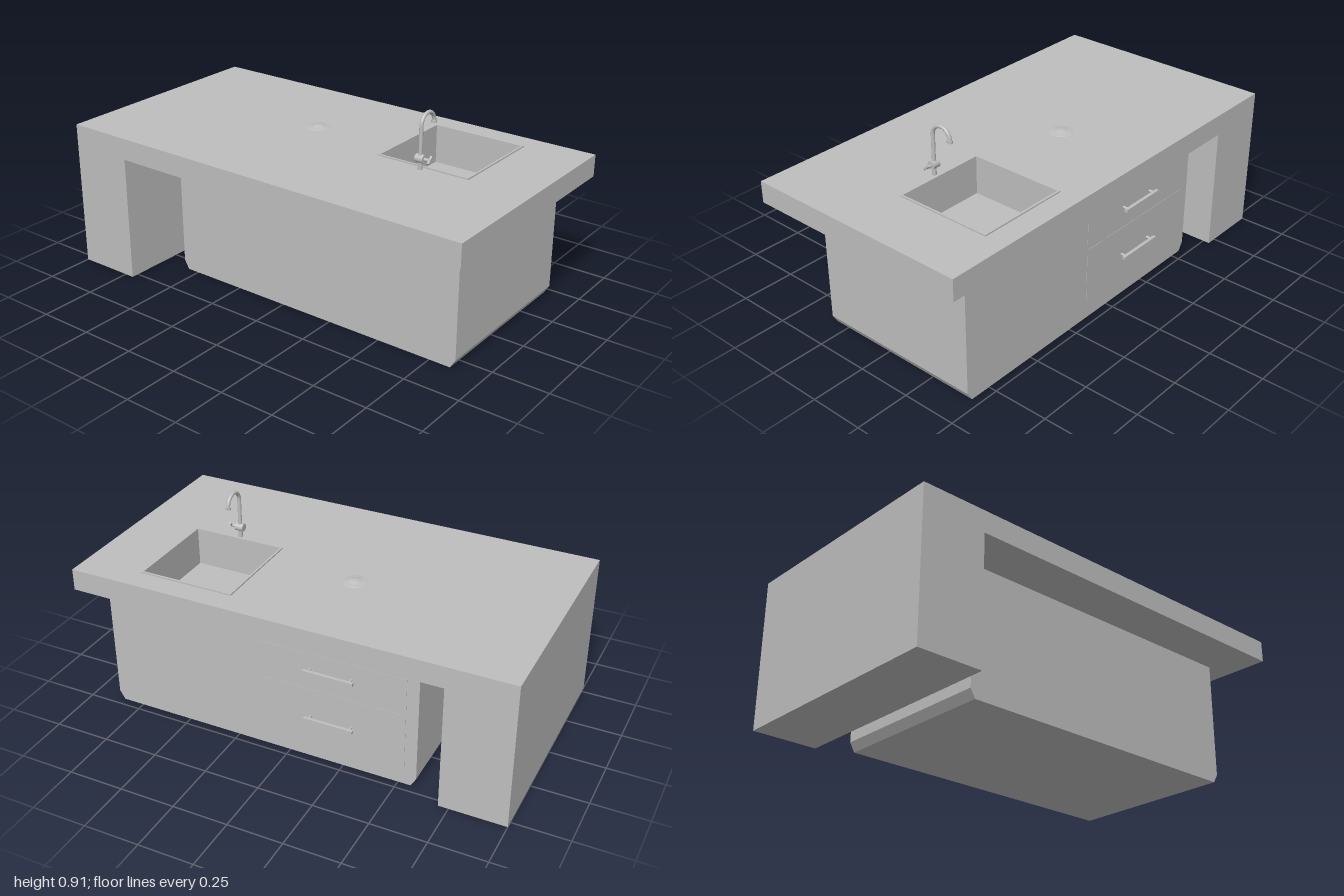
import * as THREE from 'three';

const metalGrey = new THREE.MeshStandardMaterial({ color: 0xbebebe });
metalGrey.name = 'plain grey';

const SINK = { x0: -0.017, x1: 0.418, z0: 0.29, z1: 0.71, floor: 0.5 };

function add(parent, name, geometry, x = 0, y = 0, z = 0) {
  const mesh = new THREE.Mesh(geometry, metalGrey);
  mesh.name = name;
  mesh.position.set(x, y, z);
  parent.add(mesh);
  return mesh;
}

// Box given by its limits on each axis
function box(parent, name, x0, x1, y0, y1, z0, z1) {
  return add(parent, name, new THREE.BoxGeometry(x1 - x0, y1 - y0, z1 - z0),
    (x0 + x1) / 2, (y0 + y1) / 2, (z0 + z1) / 2);
}

// Horizontal slab with a rectangular opening
function framedSlab(parent, name, [x0, x1, z0, z1], [hx0, hx1, hz0, hz1], y0, y1) {
  const corners = (a, b, c, d) =>
    [[a, -d], [b, -d], [b, -c], [a, -c]].map(([x, y]) => new THREE.Vector2(x, y));
  const shape = new THREE.Shape(corners(x0, x1, z0, z1));
  shape.holes.push(new THREE.Path(corners(hx0, hx1, hz0, hz1)));
  const geometry = new THREE.ExtrudeGeometry(shape, { depth: y1 - y0, bevelEnabled: false });
  geometry.rotateX(-Math.PI / 2);
  return add(parent, name, geometry, 0, y0, 0);
}

// Round bar between two points
function rod(parent, name, from, to, radius, sides = 24) {
  const a = new THREE.Vector3(...from), b = new THREE.Vector3(...to);
  const mesh = add(parent, name, new THREE.CylinderGeometry(radius, radius, a.distanceTo(b), sides));
  mesh.position.copy(a).add(b).multiplyScalar(0.5);
  mesh.quaternion.setFromUnitVectors(new THREE.Vector3(0, 1, 0), b.sub(a).normalize());
  return mesh;
}

function makeCabinet() {
  const cabinet = new THREE.Group();
  cabinet.name = 'cabinet';

  // Lower body with bevelled bottom edges at both ends
  const profile = new THREE.Shape([
    [-0.848, 0], [0.557, 0], [0.58, 0.04], [0.58, 0.49], [-0.872, 0.49], [-0.872, 0.04],
  ].map(([x, y]) => new THREE.Vector2(x, y)));
  const body = new THREE.ExtrudeGeometry(profile, { depth: 0.782, bevelEnabled: false });
  body.rotateY(Math.PI / 2);
  add(cabinet, 'cabinetBody', body, -0.32, 0, 0);

  // Upper body, open where the basin drops in
  framedSlab(cabinet, 'cabinetTop', [-0.32, 0.462, -0.58, 0.872],
    [SINK.x0 - 0.005, SINK.x1 + 0.005, SINK.z0 - 0.005, SINK.z1 + 0.005], 0.49, 0.572);

  // Drawers with bar handles
  for (const [y0, y1, handleY] of [[0.372, 0.515, 0.443], [0.083, 0.342, 0.207]]) {
    const drawer = new THREE.Group();
    drawer.name = 'drawer';
    box(drawer, 'drawerFront', 0.455, 0.4635, y0, y1, -0.526, 0.14);
    box(drawer, 'handleBar', 0.484, 0.499, handleY - 0.007, handleY + 0.007, -0.305, -0.08);
    for (const z of [-0.285, -0.1]) {
      rod(drawer, 'handlePost', [0.46, handleY, z], [0.488, handleY, z], 0.006, 16);
    }
    cabinet.add(drawer);
  }
  return cabinet;
}

function makeSink() {
  const { x0, x1, z0, z1, floor } = SINK;
  const sink = new THREE.Group();
  sink.name = 'sink';
  framedSlab(sink, 'sinkRim', [-0.026, 0.428, 0.281, 0.719], [x0, x1, z0, z1], 0.668, 0.676);
  framedSlab(sink, 'basinWalls', [x0 - 0.004, x1 + 0.004, z0 - 0.004, z1 + 0.004],
    [x0, x1, z0, z1], floor - 0.004, 0.672);
  box(sink, 'basinFloor', x0, x1, floor - 0.004, floor, z0, z1);
  return sink;
}

function makeTap() {
  const tap = new THREE.Group();
  tap.name = 'tap';
  tap.position.set(-0.047, 0.67, 0.505);

  // Gooseneck spout
  const neck = new THREE.CurvePath();
  const v = (x, y) => new THREE.Vector3(x, y, 0);
  const r = 0.047, k = r * 0.5523, h = 0.185;
  neck.add(new THREE.LineCurve3(v(0, 0), v(0, h)));
  neck.add(new THREE.CubicBezierCurve3(v(0, h), v(0, h + k), v(r - k, h + r), v(r, h + r)));
  neck.add(new THREE.CubicBezierCurve3(v(r, h + r), v(r + k, h + r), v(2 * r, h + k), v(2 * r, h)));
  add(tap, 'spout', new THREE.TubeGeometry(neck, 80, 0.0085, 20, false));
  add(tap, 'nozzle', new THREE.CylinderGeometry(0.0125, 0.0125, 0.012, 24), 2 * r, h - 0.003, 0);

  // Valve and lever
  rod(tap, 'base', [0, 0, 0], [0, 0.065, 0], 0.0095);
  rod(tap, 'valve', [0, 0.048, -0.019], [0, 0.048, 0.019], 0.018, 32);
  rod(tap, 'valveStem', [0, 0.048, 0.018], [0, 0.048, 0.046], 0.007);
  rod(tap, 'lever', [-0.013, 0.037, 0.043], [0.015, 0.062, 0.043], 0.005);
  return tap;
}

export function createModel() {
  const island = new THREE.Group();
  island.name = 'kitchenIsland';

  // Worktop and the full-width end support
  framedSlab(island, 'worktop', [-0.533, 0.531, -1, 1],
    [SINK.x0, SINK.x1, SINK.z0, SINK.z1], 0.572, 0.67);
  box(island, 'endSupport', -0.533, 0.531, 0, 0.572, -1, -0.705);

  island.add(makeCabinet(), makeSink(), makeTap());

  // Low round cap set into the worktop
  const capProfile = [[0.055, 0], [0.053, 0.0015], [0.034, 0.003], [0.022, 0.006], [0.018, 0.0095], [0, 0.0105]]
    .map(([x, y]) => new THREE.Vector2(x, y));
  add(island, 'worktopCap', new THREE.LatheGeometry(capProfile, 40), 0.097, 0.67, -0.125);

  return island;
}
